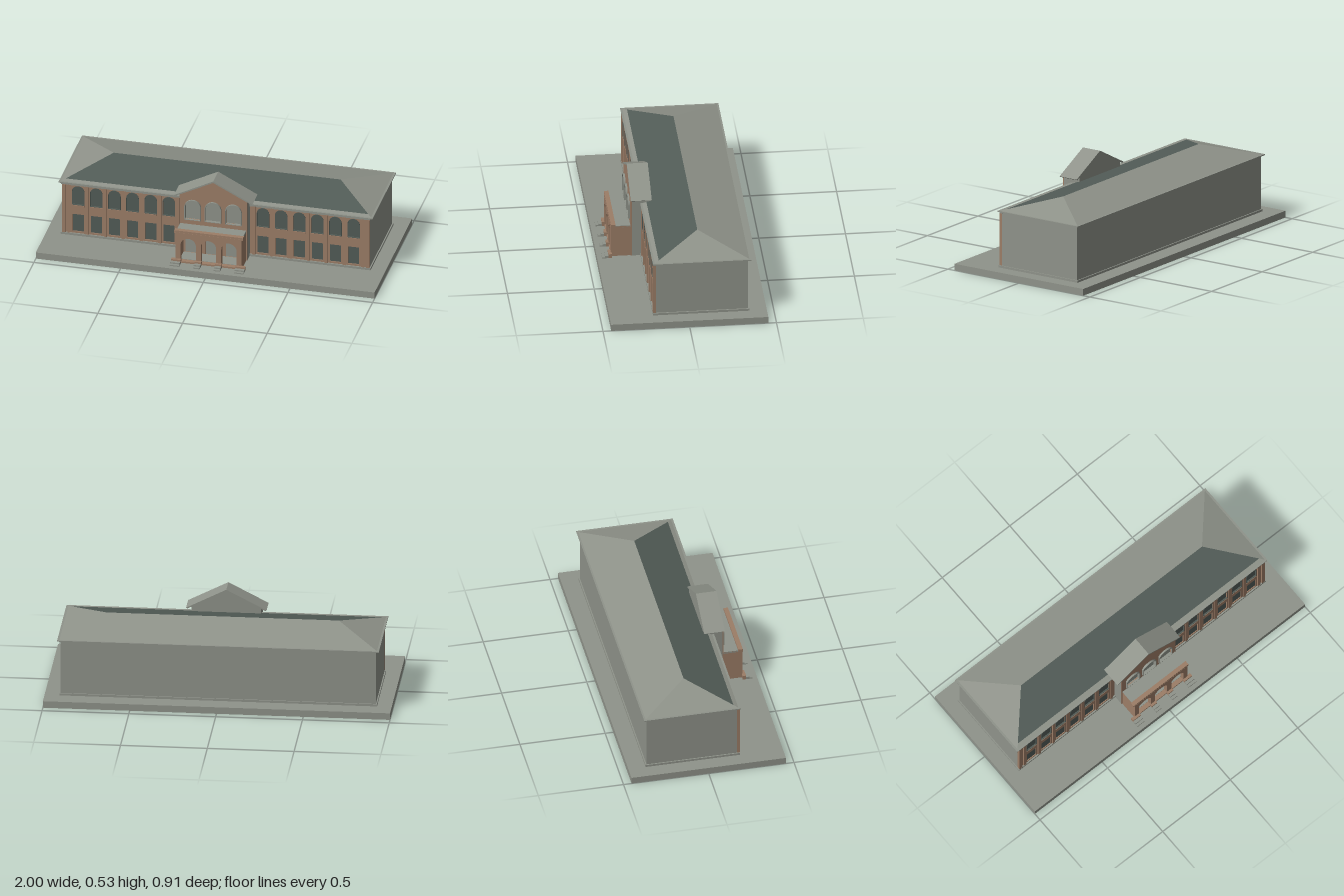
import * as THREE from 'three';

const mat = (name, color) => {
  const m = new THREE.MeshStandardMaterial({ color });
  m.name = name;
  return m;
};

export function createModel() {
  const stone = mat('grey stone', 0x8f938a);
  const brick = mat('brick', 0x9c7d67);
  const dark = mat('dark slate and glass', 0x525c57);
  const model = new THREE.Group();
  model.name = 'schoolhouse';

  const add = (name, geometry, material) => {
    const mesh = new THREE.Mesh(geometry, material);
    mesh.name = name;
    model.add(mesh);
    return mesh;
  };
  // Box given by its limits on each axis
  const box = (name, material, x0, x1, y0, y1, z0, z1) =>
    add(name, new THREE.BoxGeometry(x1 - x0, y1 - y0, z1 - z0), material)
      .position.set((x0 + x1) / 2, (y0 + y1) / 2, (z0 + z1) / 2);
  // Outline in x and y, extruded between two depths
  const slab = (name, material, shape, z0, z1) => {
    const g = new THREE.ExtrudeGeometry(shape, { depth: z1 - z0, bevelEnabled: false, curveSegments: 14 });
    add(name, g, material).position.z = z0;
  };
  const polygon = (points) => new THREE.Shape(points.map(([x, y]) => new THREE.Vector2(x, y)));
  const rect = (x0, x1, y0, y1) => polygon([[x0, y0], [x1, y0], [x1, y1], [x0, y1]]);
  // Round-headed opening
  const arch = (x, half, y0, top, Type = THREE.Path) => {
    const p = new Type();
    p.moveTo(x - half, y0);
    p.lineTo(x + half, y0);
    p.lineTo(x + half, top - half);
    p.absarc(x, top - half, half, 0, Math.PI, false);
    p.closePath();
    return p;
  };
  // Moulding that follows a round-headed opening
  const archTrim = (name, material, x, half, y0, top, width, z0, z1) => {
    const s = arch(x, half + width, y0, top + width, THREE.Shape);
    s.holes.push(arch(x, half, y0 + 0.003, top));
    slab(name, material, s, z0, z1);
  };

  // Ground slab, main block and plinth
  box('groundSlab', stone, -1, 1, 0, 0.04, -0.453, 0.453);
  box('mainBlock', stone, -0.908, 0.908, 0.04, 0.376, -0.345, 0.185);
  box('plinth', stone, -0.915, 0.915, 0.04, 0.053, -0.352, 0.203);
  box('cornice', stone, -0.912, 0.912, 0.364, 0.376, 0.18, 0.2);
  box('eaves', stone, -0.927, 0.927, 0.374, 0.38, -0.362, 0.204);

  // Front wings, mirrored: brick skin with windows and pilasters
  for (const side of [-1, 1]) {
    const ends = [side * 0.19, side * 0.908].sort((a, b) => a - b);
    const wall = rect(ends[0], ends[1], 0.053, 0.365);
    for (let i = 0; i < 6; i++) {
      const x = side * (0.278 + i * 0.107);
      wall.holes.push(rect(x - 0.033, x + 0.033, 0.064, 0.175));
      wall.holes.push(arch(x, 0.034, 0.235, 0.356));
      box('lowerWindow', dark, x - 0.035, x + 0.035, 0.062, 0.177, 0.183, 0.188);
      box('upperWindow', dark, x - 0.036, x + 0.036, 0.233, 0.358, 0.183, 0.188);
      box('windowSill', brick, x - 0.036, x + 0.036, 0.228, 0.235, 0.19, 0.199);
      archTrim('windowArch', dark, x, 0.034, 0.236, 0.356, 0.003, 0.188, 0.197);
    }
    slab('wingWall', brick, wall, 0.185, 0.194);
    for (let i = 0; i < 7; i++) {
      const x = side * (0.2245 + i * 0.107);
      box('pilaster', brick, x - 0.009, x + 0.009, 0.053, 0.366, 0.19, 0.201);
    }
    const corner = side * 0.897;
    box('cornerPilaster', brick, corner - 0.011, corner + 0.011, 0.053, 0.366, 0.187, 0.202);
  }

  // Hipped roof, with the upper part of the front slope in slate
  const X = 0.915, R = 0.67, top = 0.453, low = 0.38, zf = 0.192, zb = -0.352, zr = -0.077;
  const t = 0.09;
  const a = [-X, low, zf], b = [X, low, zf], c = [X, low, zb], d = [-X, low, zb];
  const l = [-R, top, zr], r = [R, top, zr];
  const mix = (p, q) => p.map((v, i) => v + (q[i] - v) * t);
  const la = mix(a, l), rb = mix(b, r);
  const faces = (list) => {
    const g = new THREE.BufferGeometry();
    const tris = list.flatMap((f) => f.slice(2).flatMap((p, i) => [f[0], f[i + 1], p]));
    g.setAttribute('position', new THREE.Float32BufferAttribute(tris.flat(), 3));
    g.computeVertexNormals();
    return g;
  };
  add('hippedRoof', faces([[a, b, rb, la], [b, c, r], [c, d, l, r], [d, a, l]]), stone);
  add('frontRoofSlope', faces([[la, rb, r, l]]), dark);

  // Central gabled pavilion
  const gable = () => polygon([[-0.2, 0.04], [0.2, 0.04], [0.2, 0.423], [0, 0.525], [-0.2, 0.423]]);
  slab('pavilion', stone, gable(), 0.143, 0.252);
  const front = gable();
  const bays = [-0.12, 0, 0.12];
  for (const x of bays) {
    front.holes.push(arch(x, 0.044, 0.27, 0.392), arch(x, 0.045, 0.05, 0.202));
    archTrim('pavilionWindowArch', stone, x, 0.044, 0.267, 0.392, 0.005, 0.252, 0.271);
  }
  slab('pavilionFront', brick, front, 0.252, 0.26);
  slab('pavilionRoof', stone, polygon([[-0.232, 0.414], [-0.225, 0.409], [0, 0.523],
    [0.225, 0.409], [0.232, 0.414], [0, 0.533]]), 0.14, 0.261);

  // Arcaded porch
  const arcade = rect(-0.195, 0.195, 0.04, 0.235);
  for (const x of bays) arcade.holes.push(arch(x, 0.045, 0.05, 0.202));
  slab('porchArcade', brick, arcade, 0.345, 0.373);
  for (const x of [-0.185, 0.185]) box('porchSide', brick, x - 0.01, x + 0.01, 0.04, 0.233, 0.26, 0.346);
  box('porchFloor', stone, -0.18, 0.18, 0.04, 0.052, 0.26, 0.346);
  box('porchRoof', stone, -0.195, 0.195, 0.225, 0.236, 0.26, 0.346);
  box('porchParapet', brick, -0.203, 0.203, 0.23, 0.247, 0.346, 0.372);

  // Stepped footings in front of the piers
  for (const [x, half] of [[-0.19, 0.028], [-0.06, 0.019], [0.06, 0.019], [0.19, 0.028]]) {
    box('pierBase', brick, x - half, x + half, 0.04, 0.065, 0.368, 0.388);
    box('upperStep', stone, x - half, x + half, 0.04, 0.055, 0.388, 0.408);
    box('lowerStep', stone, x - half, x + half, 0.04, 0.047, 0.408, 0.425);
  }
  return model;
}
